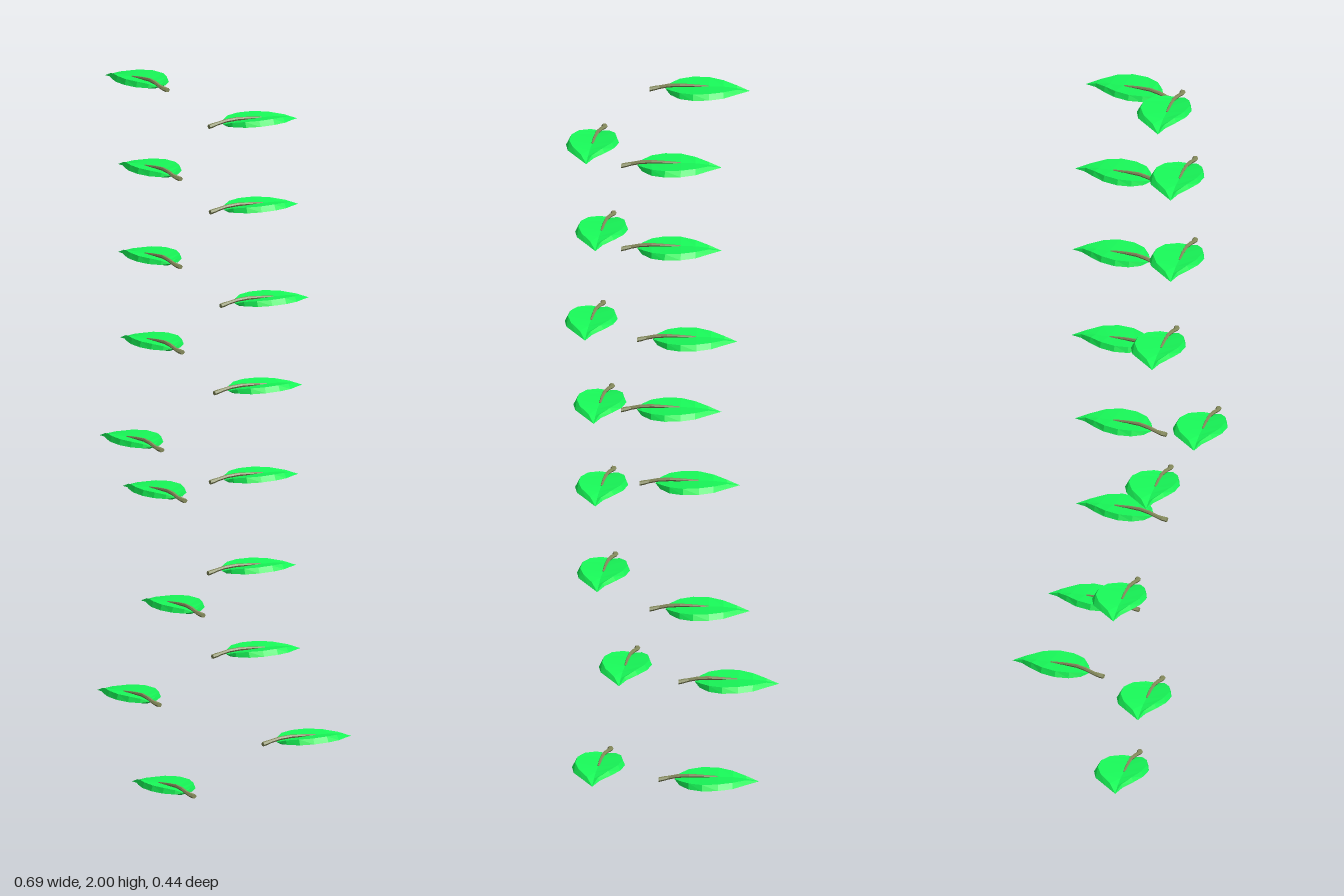
import * as THREE from 'three';

const green = new THREE.MeshStandardMaterial({ color: 0x18f858, flatShading: true });
const brown = new THREE.MeshStandardMaterial({ color: 0x858a5c, flatShading: true });

// Skin closed rings of [x, y, z] points that follow one another along +x
function loft(rings) {
  const n = rings[0].length, index = [];
  for (let i = 0; i < rings.length - 1; i++) {
    for (let j = 0; j < n; j++) {
      const a = i * n + j, b = i * n + (j + 1) % n;
      index.push(a, b, b + n, a, b + n, a + n);
    }
  }
  let geo = new THREE.BufferGeometry();
  geo.setAttribute('position', new THREE.Float32BufferAttribute(rings.flat(2), 3));
  geo.setIndex(index);
  geo = geo.toNonIndexed();
  geo.computeVertexNormals();
  return geo;
}

// Blade stations: distance from stem end, left and right width factors,
// height of rim, thickness factor, position of the ridge inside the rim
const BLADE = [
  [0.042, 0, 0, 0.008, 0, 0.88], [0.055, 0.42, 0.42, 0.005, 0.75, 0.88],
  [0.08, 0.8, 0.8, 0.006, 1, 0.9], [0.115, 1, 1, 0.008, 1, 0.9],
  [0.157, 0.92, 1, 0.009, 1, 0.88], [0.195, 0.62, 0.84, 0.009, 0.85, 0.8],
  [0.23, 0.22, 0.42, 0.006, 0.6, 0.65], [0.264, 0, 0, 0.002, 0, 0.65],
];
// Stem stations: distance, height, half width, half height, sideways bend
const STEM = [
  [0, 0.006, 0, 0, 0], [0, 0.006, 0.008, 0.006, 0], [0.012, 0.008, 0.008, 0.006, -0.002],
  [0.026, 0.011, 0.006, 0.005, -0.003], [0.05, 0.017, 0.006, 0.005, 0], [0.08, 0.02, 0.005, 0.005, 0.004],
  [0.115, 0.019, 0.004, 0.004, 0.005], [0.155, 0.016, 0.003, 0.003, 0.004], [0.155, 0.016, 0, 0, 0.004],
];

// Thick creased blade with a bevelled rim, wl and wr are the half widths
function bladeGeometry(wl, wr, stretch) {
  return loft(BLADE.map(([a, l, r, y, t, inset]) => {
    const x = a * stretch;
    return [
      [x, y, -wl * l],
      [x, y + 0.015 * t, -wl * l * inset],
      [x, y + 0.008 * t, 0.004 * r],
      [x, y + 0.015 * t, wr * r * inset],
      [x, y, wr * r],
      [x, y - 0.006 * t, 0],
    ];
  }));
}

// Six-sided stalk that runs on into the midrib
function stemGeometry(stretch) {
  return loft(STEM.map(([a, y, rw, rh, bend]) =>
    Array.from({ length: 6 }, (_, k) => {
      const u = Math.PI - k * Math.PI / 3;
      return [a * stretch, y + rh * Math.sin(u), bend + rw * Math.cos(u)];
    })));
}

// Each row: stem end x, middle height, stem end z
const RIGHT_LEAVES = [
  [-0.081, 1.987, 0.106], [-0.029, 1.756, 0.164], [-0.029, 1.513, 0.164],
  [-0.039, 1.264, 0.106], [-0.066, 1.015, 0.217], [-0.036, 0.85, 0.09],
  [-0.008, 0.517, 0.005], [-0.124, 0.268, 0.03], [-0.035, 0.014, 0],
];
const LEFT_LEAVES = [
  [0.044, 1.9, 0.14], [0.038, 1.656, 0.106], [0.069, 1.4, 0.111], [0.048, 1.155, 0.1],
  [0.038, 0.909, 0.106], [0.032, 0.657, 0.106], [0.021, 0.408, 0.02], [0.148, 0.162, -0.032],
];

export function createModel() {
  const model = new THREE.Group();
  model.name = 'leaves';

  const addColumn = (name, rows, dx, dz, wl, wr) => {
    const stretch = Math.hypot(dx, dz) / 0.264;
    const blade = bladeGeometry(wl, wr, stretch), stem = stemGeometry(stretch);
    rows.forEach(([x, y, z], i) => {
      const leaf = new THREE.Group();
      leaf.name = `${name}${i + 1}`;
      const bladeMesh = new THREE.Mesh(blade, green);
      bladeMesh.name = 'blade';
      const stemMesh = new THREE.Mesh(stem, brown);
      stemMesh.name = 'stem';
      leaf.add(bladeMesh, stemMesh);
      leaf.position.set(x, y - 0.014, z);
      leaf.rotation.y = Math.atan2(-dz, dx);
      model.add(leaf);
    });
  };
  addColumn('rightLeaf', RIGHT_LEAVES, -0.219, -0.161, 0.055, 0.087);
  addColumn('leftLeaf', LEFT_LEAVES, 0.196, -0.187, 0.062, 0.076);
  return model;
}
